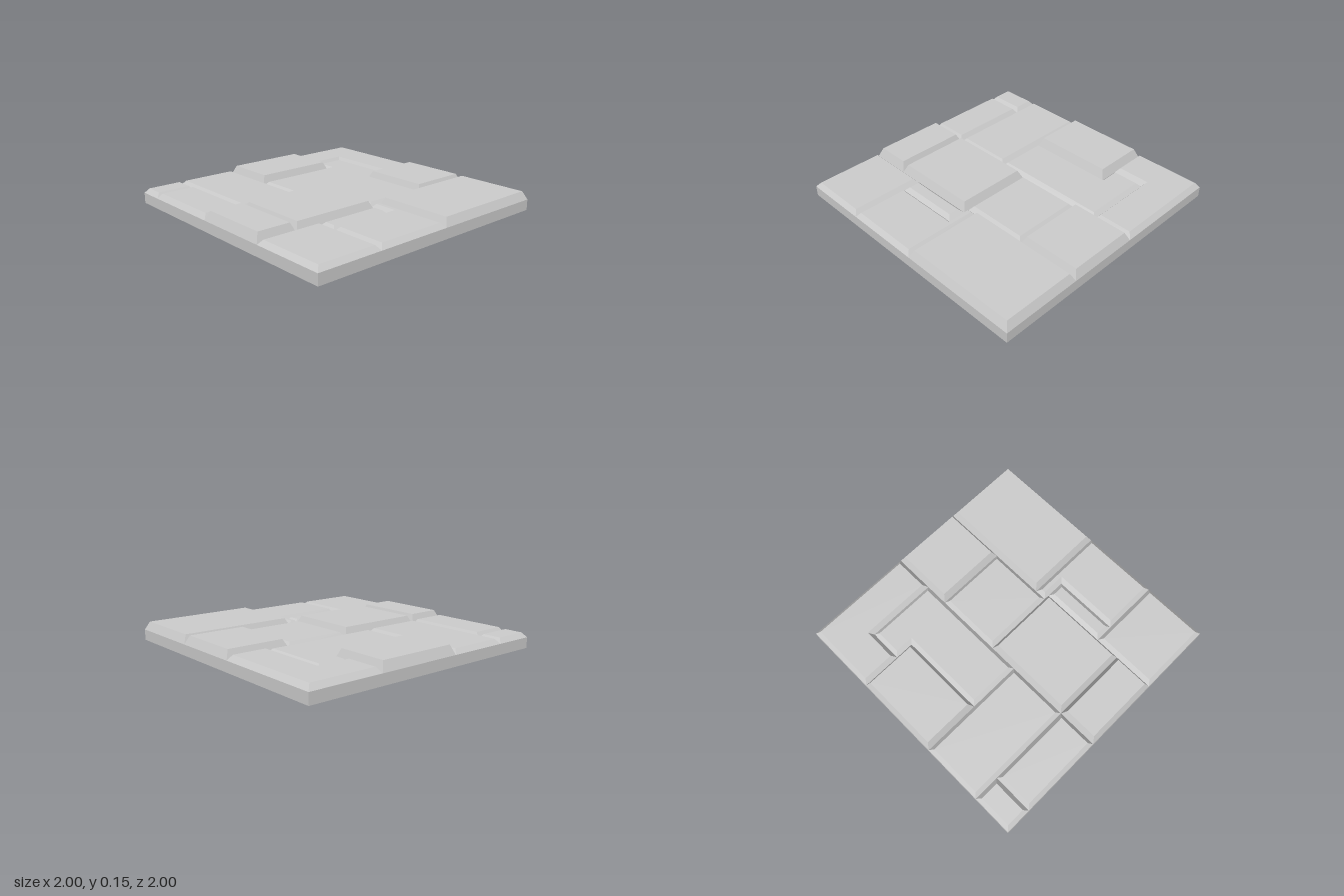
import * as THREE from 'three';

const BASE = 0.08;   // slab thickness
const BEVEL = 0.03;  // inset of each stone's top edge

const rect = (x0, z0, x1, z1) => [[x0, z0], [x1, z0], [x1, z1], [x0, z1]];

// Stone: outline in (x, z) at the slab surface, sloping in to a flat top
function stoneGeometry(outline, top) {
  const n = outline.length;
  const inward = (a, b) => {
    const dx = b[0] - a[0], dz = b[1] - a[1], l = Math.hypot(dx, dz);
    return [-dz / l, dx / l];
  };
  // All corners are square, so the two edge normals add up to the miter
  const inner = outline.map((p, i) => {
    const u = inward(outline[(i + n - 1) % n], p);
    const v = inward(p, outline[(i + 1) % n]);
    return [p[0] + BEVEL * (u[0] + v[0]), p[1] + BEVEL * (u[1] + v[1])];
  });
  const pos = [];
  const low = (i) => pos.push(outline[i][0], BASE, outline[i][1]);
  const high = (i) => pos.push(inner[i][0], top, inner[i][1]);
  // Sloping sides
  for (let i = 0; i < n; i++) {
    const j = (i + 1) % n;
    low(i); high(i); low(j);
    high(i); high(j); low(j);
  }
  // Flat top, every triangle turned to face up
  const contour = inner.map(([x, z]) => new THREE.Vector2(x, z));
  for (const [a, b, c] of THREE.ShapeUtils.triangulateShape(contour, [])) {
    const clockwise = THREE.ShapeUtils.area([contour[a], contour[b], contour[c]]) < 0;
    (clockwise ? [a, b, c] : [a, c, b]).forEach(high);
  }
  const g = new THREE.BufferGeometry();
  g.setAttribute('position', new THREE.Float32BufferAttribute(pos, 3));
  g.computeVertexNormals();
  return g;
}

export function createModel() {
  const group = new THREE.Group();
  group.name = 'stoneFloorTile';
  const material = new THREE.MeshStandardMaterial({ color: 0xcccccc, flatShading: true });
  const add = (name, geometry) => {
    const mesh = new THREE.Mesh(geometry, material);
    mesh.name = name;
    group.add(mesh);
    return mesh;
  };

  add('baseSlab', new THREE.BoxGeometry(2, BASE, 2)).position.y = BASE / 2;

  // name, outline, top height
  const stones = [
    // Column at -x
    ['backCornerStone', [[-1, -1], [-0.16, -1], [-0.16, -0.69], [-0.7, -0.69], [-0.7, -0.44], [-1, -0.44]], 0.12],
    ['hookedStone', [[-0.7, -0.69], [-0.16, -0.69], [-0.16, 0.22], [-0.56, 0.22], [-0.56, -0.44], [-0.7, -0.44]], 0.11],
    ['raisedSideStone', rect(-1, -0.44, -0.56, 0.22), 0.15],
    ['wideStone', rect(-1, 0.22, -0.16, 0.69), 0.115],
    ['smallCornerStone', rect(-1, 0.69, -0.8, 1), 0.115],
    ['frontLongStone', rect(-0.8, 0.69, -0.16, 1), 0.12],
    // Middle column
    ['backMiddleStone', rect(-0.16, -1, 0.39, -0.51), 0.145],
    ['lowMiddleStone', rect(-0.16, -0.51, 0.39, 0), 0.115],
    ['raisedMiddleStone', rect(-0.16, 0, 0.43, 0.69), 0.145],
    ['frontMiddleStone', rect(-0.16, 0.69, 0.43, 1), 0.15],
    // Column at +x
    ['largeBackStone', rect(0.39, -1, 1, -0.09), 0.142],
    ['notchedStone', [[0.39, -0.09], [1, -0.09], [1, 0.5], [0.57, 0.5], [0.57, 0], [0.39, 0]], 0.115],
    ['narrowStone', rect(0.43, 0, 0.57, 0.5), 0.11],
    ['frontCornerStone', rect(0.43, 0.5, 1, 1), 0.115],
  ];
  for (const [name, outline, top] of stones) add(name, stoneGeometry(outline, top));

  return group;
}
